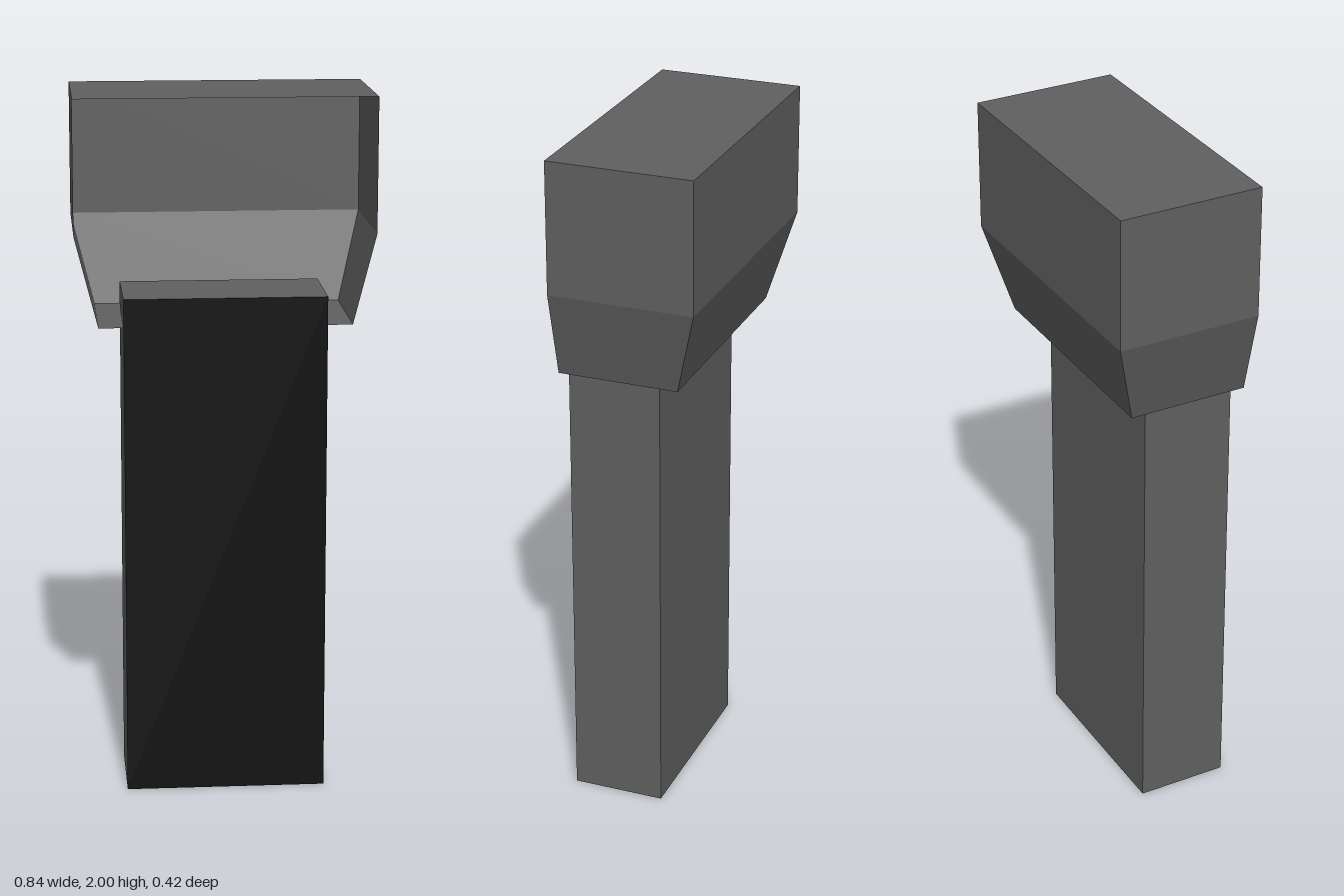
import * as THREE from 'three';

const FRONT = 0.21;

export function createModel() {
  const model = new THREE.Group();
  const grey = new THREE.MeshStandardMaterial({ color: 0x606060, side: THREE.DoubleSide });
  grey.name = 'grey';
  const black = new THREE.MeshStandardMaterial({ color: 0x0d0d0d });
  black.name = 'black';

  // Post: grey box with a black front face
  const [bottom, top, back] = [0, 1.445, -0.06];
  const post = new THREE.Mesh(
    new THREE.BoxGeometry(0.57, top - bottom, FRONT - back),
    [grey, grey, grey, grey, black, grey]
  );
  post.name = 'post';
  post.position.set(0, (top + bottom) / 2, (FRONT + back) / 2);
  model.add(post);

  // Hood: thin shell, open at the front, from three sections [y, half width, back z]
  const sections = [[1.365, 0.355, -0.14], [1.62, 0.42, -0.21], [2, 0.42, -0.21]];
  const rings = sections.map(([y, x, z]) => [[x, y, FRONT], [x, y, z], [-x, y, z], [-x, y, FRONT]]);
  const positions = [];
  const quad = (a, b, c, d) => positions.push(...a, ...b, ...c, ...a, ...c, ...d);
  for (let i = 0; i < 2; i++) {
    for (let j = 0; j < 3; j++) {
      quad(rings[i][j], rings[i][j + 1], rings[i + 1][j + 1], rings[i + 1][j]);
    }
  }
  quad(...rings[2]); // roof
  quad(...[...rings[0]].reverse()); // floor

  const shell = new THREE.BufferGeometry();
  shell.setAttribute('position', new THREE.Float32BufferAttribute(positions, 3));
  shell.computeVertexNormals();
  const hood = new THREE.Mesh(shell, grey);
  hood.name = 'hood';
  model.add(hood);

  return model;
}
